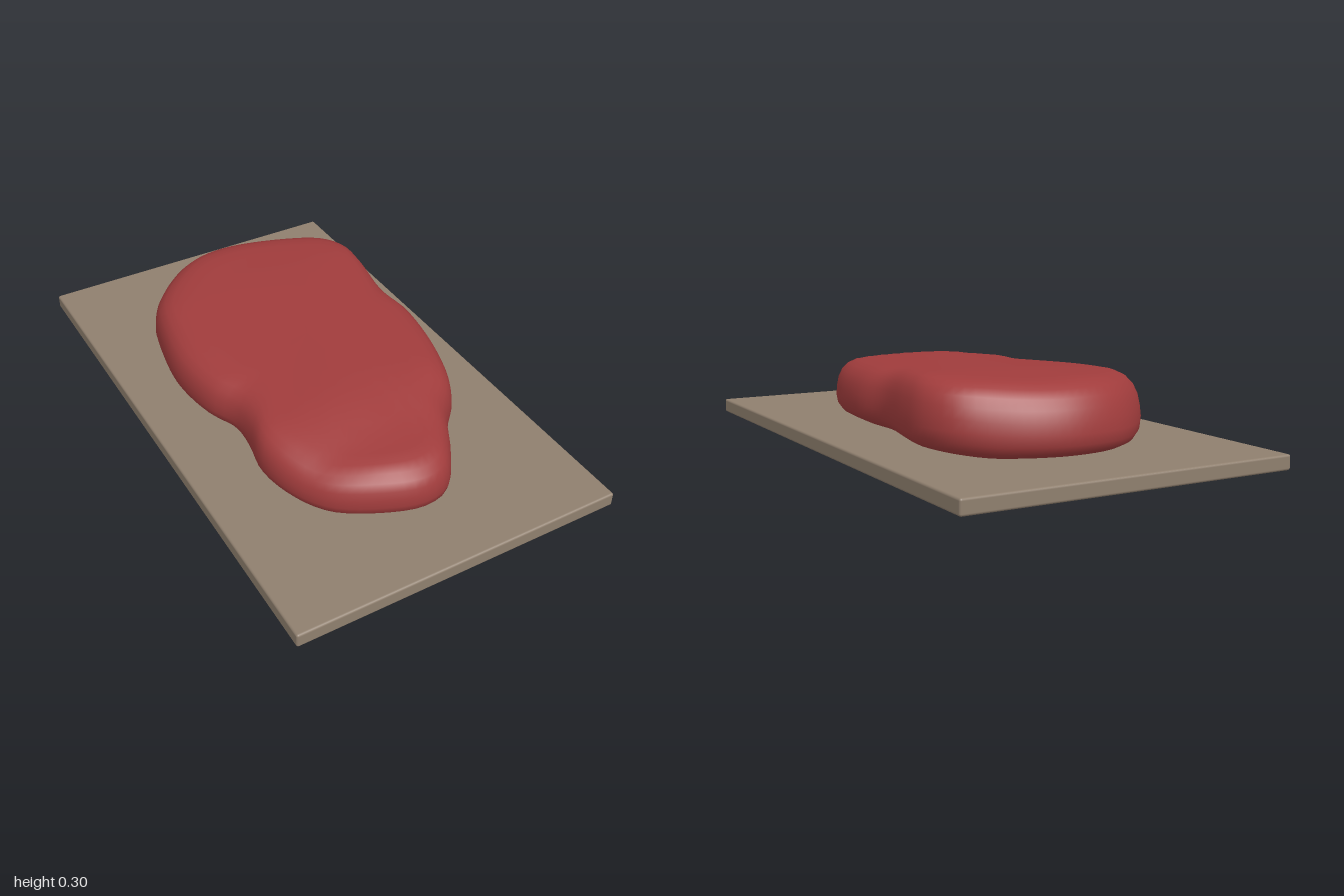
import * as THREE from 'three';
import { RoundedBoxGeometry } from 'three/addons/geometries/RoundedBoxGeometry.js';
import { mergeVertices } from 'three/addons/utils/BufferGeometryUtils.js';

// Plan outline of the slab (x, z), clockwise from the back
const OUTLINE = [
  [0, -0.76], [0.14, -0.74], [0.28, -0.68], [0.40, -0.59], [0.45, -0.48], [0.452, -0.36],
  [0.428, -0.15], [0.445, 0], [0.43, 0.15], [0.40, 0.28], [0.34, 0.43], [0.26, 0.52],
  [0.19, 0.64], [0.10, 0.75], [0, 0.773], [-0.14, 0.73], [-0.28, 0.64], [-0.36, 0.51],
  [-0.39, 0.38], [-0.37, 0.25], [-0.37, 0.15], [-0.42, 0.04], [-0.447, -0.15],
  [-0.42, -0.36], [-0.38, -0.50], [-0.29, -0.63], [-0.16, -0.73],
];

// Edge profile: [inward distance, height fraction], from the underside to the top
const PROFILE = [
  [0.20, 0], [0.12, 0], [0.06, 0.02], [0.025, 0.09], [0.006, 0.2], [0, 0.35], [0.003, 0.52],
  [0.01, 0.68], [0.025, 0.82], [0.05, 0.925], [0.085, 0.98], [0.13, 1],
];

// Top height along the length: [z, y]
const TOP = [[-0.76, 0.28], [-0.6, 0.293], [-0.38, 0.3], [0, 0.288], [0.35, 0.278],
  [0.43, 0.265], [0.56, 0.235], [0.68, 0.232], [0.78, 0.22]];

function topHeight(x, z) {
  let k = 0;
  while (k < TOP.length - 2 && z > TOP[k + 1][0]) k++;
  const [z0, y0] = TOP[k], [z1, y1] = TOP[k + 1];
  const y = THREE.MathUtils.lerp(y0, y1, THREE.MathUtils.clamp((z - z0) / (z1 - z0), 0, 1));
  const leftSlope = 0.03 * THREE.MathUtils.smoothstep(-x, 0, 0.45);
  const ripple = 0.004 * Math.sin(9 * x + 4 * z);
  return y - leftSlope + ripple;
}

function bottomHeight(x, z) {
  const arch = 0.012 * Math.exp(-((z / 0.35) ** 2));
  return 0.052 + arch + 0.018 * THREE.MathUtils.smoothstep(Math.abs(x), 0.25, 0.45);
}

function slabGeometry() {
  const N = 108;
  const curve = new THREE.CatmullRomCurve3(
    OUTLINE.map(([x, z]) => new THREE.Vector3(x, 0, z)), true, 'centripetal');
  const outline = curve.getSpacedPoints(N).slice(0, N);
  const positions = [], index = [];
  const addRing = (inset, t, scale) => outline.forEach((p) => {
    const back = THREE.MathUtils.smoothstep(-p.z, 0.45, 0.75);
    const lean = back * 0.03 * t;
    const s = (1 - (inset + lean) / p.length()) * scale;
    const x = p.x * s, z = p.z * s;
    const low = bottomHeight(x, z);
    positions.push(x, low + (topHeight(x, z) - low) * t, z);
  });

  // Underside, rounded rim, then the top closing to the middle
  const inner = [0, 0.25, 0.5, 0.75];
  inner.forEach((s) => addRing(0.20, 0, s));
  PROFILE.forEach(([inset, t]) => addRing(inset, t, 1));
  [0.9, 0.78, 0.64, 0.5, 0.35, 0.18, 0].forEach((s) => addRing(0.13, 1, s));

  const rings = positions.length / 3 / N;
  for (let i = 0; i < rings - 1; i++) {
    for (let j = 0; j < N; j++) {
      const a = i * N + j, b = i * N + (j + 1) % N, c = a + N, d = b + N;
      if (i > 0) index.push(a, c, b);
      else index.push(a, c, d);
      if (i > 0 && i < rings - 2) index.push(b, c, d);
    }
  }
  let geometry = new THREE.BufferGeometry();
  geometry.setAttribute('position', new THREE.Float32BufferAttribute(positions, 3));
  geometry.setIndex(index);
  geometry = mergeVertices(geometry, 1e-5);
  geometry.computeVertexNormals();
  return geometry;
}

export function createModel() {
  const group = new THREE.Group();

  // Flat board with softened edges
  const board = new THREE.Mesh(
    new RoundedBoxGeometry(1.2, 0.052, 2, 3, 0.008),
    new THREE.MeshStandardMaterial({ color: 0x8f7f6e }));
  board.name = 'board';
  board.position.y = 0.026;
  group.add(board);

  // Slab of raw meat
  const meat = new THREE.Mesh(slabGeometry(), new THREE.MeshStandardMaterial({ color: 0xa03c3c }));
  meat.name = 'meatSlab';
  group.add(meat);

  return group;
}
